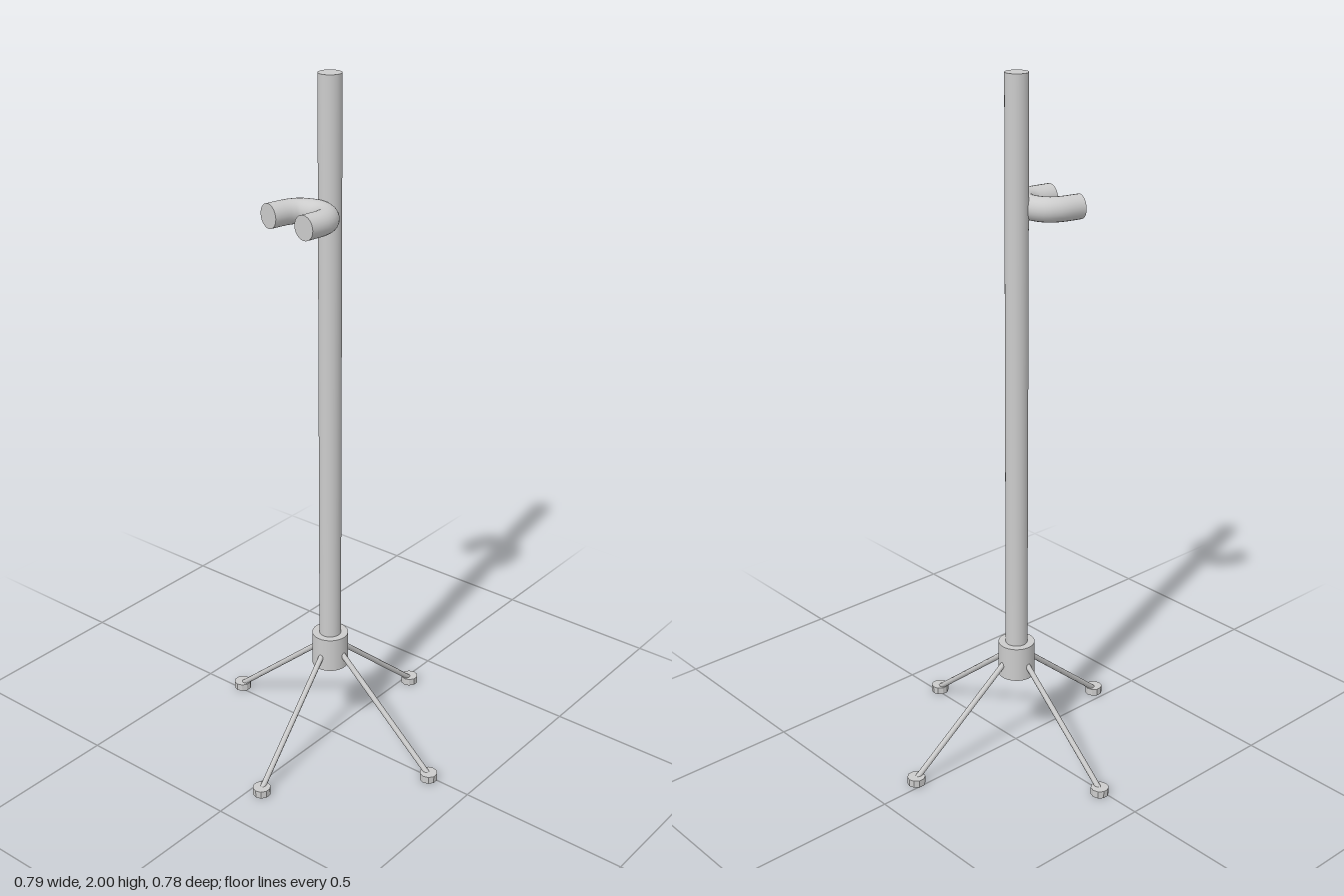
import * as THREE from 'three';

const CX = -0.011, CZ = -0.007; // pole axis

export function createModel() {
  const model = new THREE.Group();
  const smooth = new THREE.MeshStandardMaterial({ color: 0xcccccc });
  const flat = new THREE.MeshStandardMaterial({ color: 0xcccccc, flatShading: true });

  const add = (name, geometry, material = smooth, parent = model) => {
    const mesh = new THREE.Mesh(geometry, material);
    mesh.name = name;
    parent.add(mesh);
    return mesh;
  };

  // Upright pole and the hub that holds the legs
  add('pole', new THREE.CylinderGeometry(0.032, 0.032, 1.7, 32)).position.set(CX, 1.15, CZ);
  add('hub', new THREE.CylinderGeometry(0.053, 0.053, 0.104, 32)).position.set(CX, 0.293, CZ);

  // Four splayed legs, each ending in a small disc foot
  const feet = {
    leftLeg: [0.368, 0.008],
    rightLeg: [-0.37, -0.011],
    frontLeg: [0.036, 0.364],
    backLeg: [0.022, -0.367],
  };
  const up = new THREE.Vector3(0, 1, 0);
  for (const [name, [x, z]] of Object.entries(feet)) {
    const leg = new THREE.Group();
    leg.name = name;
    model.add(leg);
    const foot = new THREE.Vector3(x, 0.013, z);
    const top = new THREE.Vector3(CX, 0.325, CZ).lerp(foot, 0.06);
    const dir = top.clone().sub(foot);
    const rod = add('legRod', new THREE.CylinderGeometry(0.008, 0.008, dir.length(), 8), smooth, leg);
    rod.position.copy(top).add(foot).multiplyScalar(0.5);
    rod.quaternion.setFromUnitVectors(up, dir.normalize());
    add('foot', new THREE.CylinderGeometry(0.026, 0.026, 0.022, 10), flat, leg).position.set(x, 0.011, z);
  }

  // U-shaped cradle hook, opening forward, with closed ends
  const hook = new THREE.Group();
  hook.name = 'hook';
  model.add(hook);
  const path = new THREE.CatmullRomCurve3([
    [-0.097, 0.142], [-0.082, 0.080], [-0.062, 0.052], [-0.018, 0.037],
    [0.014, 0.046], [0.038, 0.068], [0.048, 0.095], [0.040, 0.163],
  ].map(([x, z]) => new THREE.Vector3(x, 1.64, z)));
  add('hookTube', new THREE.TubeGeometry(path, 28, 0.034, 24), smooth, hook);
  const forward = new THREE.Vector3(0, 0, 1);
  for (const [t, sign] of [[0, -1], [1, 1]]) {
    const cap = add('hookEnd', new THREE.CircleGeometry(0.034, 24), smooth, hook);
    cap.position.copy(path.getPointAt(t));
    cap.quaternion.setFromUnitVectors(forward, path.getTangentAt(t).multiplyScalar(sign));
  }

  return model;
}
